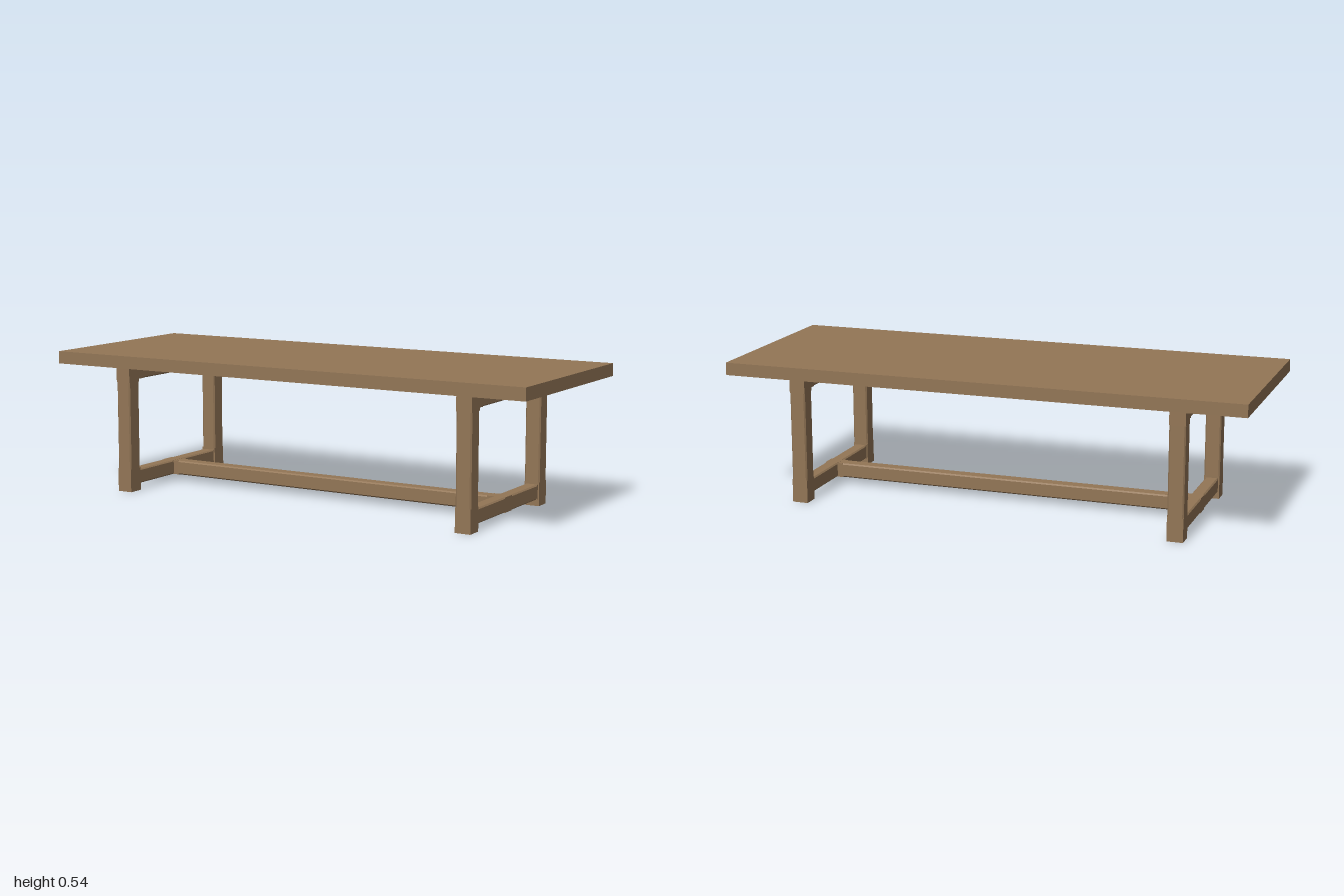
import * as THREE from 'three';

const wood = new THREE.MeshStandardMaterial({ color: 0x937656 });
wood.name = 'oak wood';

// Timber along +z: square blocks at the given [start, end] spans, chamfered edges between them
function timber(name, w, h, blocks, c = 0.005) {
  const g = new THREE.Group();
  g.name = name;
  const x = w / 2, y = h / 2;
  const section = new THREE.Shape([
    [x - c, -y], [x, -y + c], [x, y - c], [x - c, y],
    [-x + c, y], [-x, y - c], [-x, -y + c], [-x + c, -y],
  ].map(p => new THREE.Vector2(...p)));
  blocks.forEach(([a, b], i) => {
    const block = new THREE.Mesh(new THREE.BoxGeometry(w, h, b - a), wood);
    block.name = name + 'Block';
    block.position.z = (a + b) / 2;
    g.add(block);
    if (i + 1 < blocks.length) {
      const depth = blocks[i + 1][0] - b;
      const geo = new THREE.ExtrudeGeometry(section, { depth, bevelEnabled: false });
      const shaft = new THREE.Mesh(geo, wood);
      shaft.name = name + 'Shaft';
      shaft.position.z = b;
      g.add(shaft);
    }
  });
  return g;
}

export function createModel() {
  const model = new THREE.Group();
  model.name = 'trestleTable';

  // Three planks form the top
  const plankWidth = 0.764 / 3;
  for (let i = -1; i <= 1; i++) {
    const plank = new THREE.Mesh(new THREE.BoxGeometry(2, 0.048, plankWidth), wood);
    plank.name = 'topPlank';
    plank.position.set(0, 0.519, i * plankWidth);
    model.add(plank);
  }

  // End frames: two legs, a top rail and a bottom rail
  for (const side of [-1, 1]) {
    const frame = new THREE.Group();
    frame.name = side > 0 ? 'leftEndFrame' : 'rightEndFrame';
    frame.position.x = side * 0.7375;

    for (const z of [-0.287, 0.287]) {
      const leg = timber('leg', 0.061, 0.062, [[0, 0.09], [0.43, 0.495]]);
      leg.rotation.x = -Math.PI / 2;
      leg.position.z = z;
      frame.add(leg);
    }

    const topRail = timber('topRail', 0.05, 0.056, [[-0.257, -0.22], [0.22, 0.257]]);
    topRail.position.y = 0.467;
    const bottomRail = timber('bottomRail', 0.05, 0.057,
      [[-0.257, -0.25], [-0.028, 0.028], [0.25, 0.257]]);
    bottomRail.position.y = 0.0535;
    frame.add(topRail, bottomRail);
    model.add(frame);
  }

  // Long stretcher joining the bottom rails
  const stretcher = timber('stretcher', 0.054, 0.056, [[-0.714, -0.69], [0.69, 0.714]]);
  stretcher.rotation.y = Math.PI / 2;
  stretcher.position.y = 0.0535;
  model.add(stretcher);

  return model;
}
